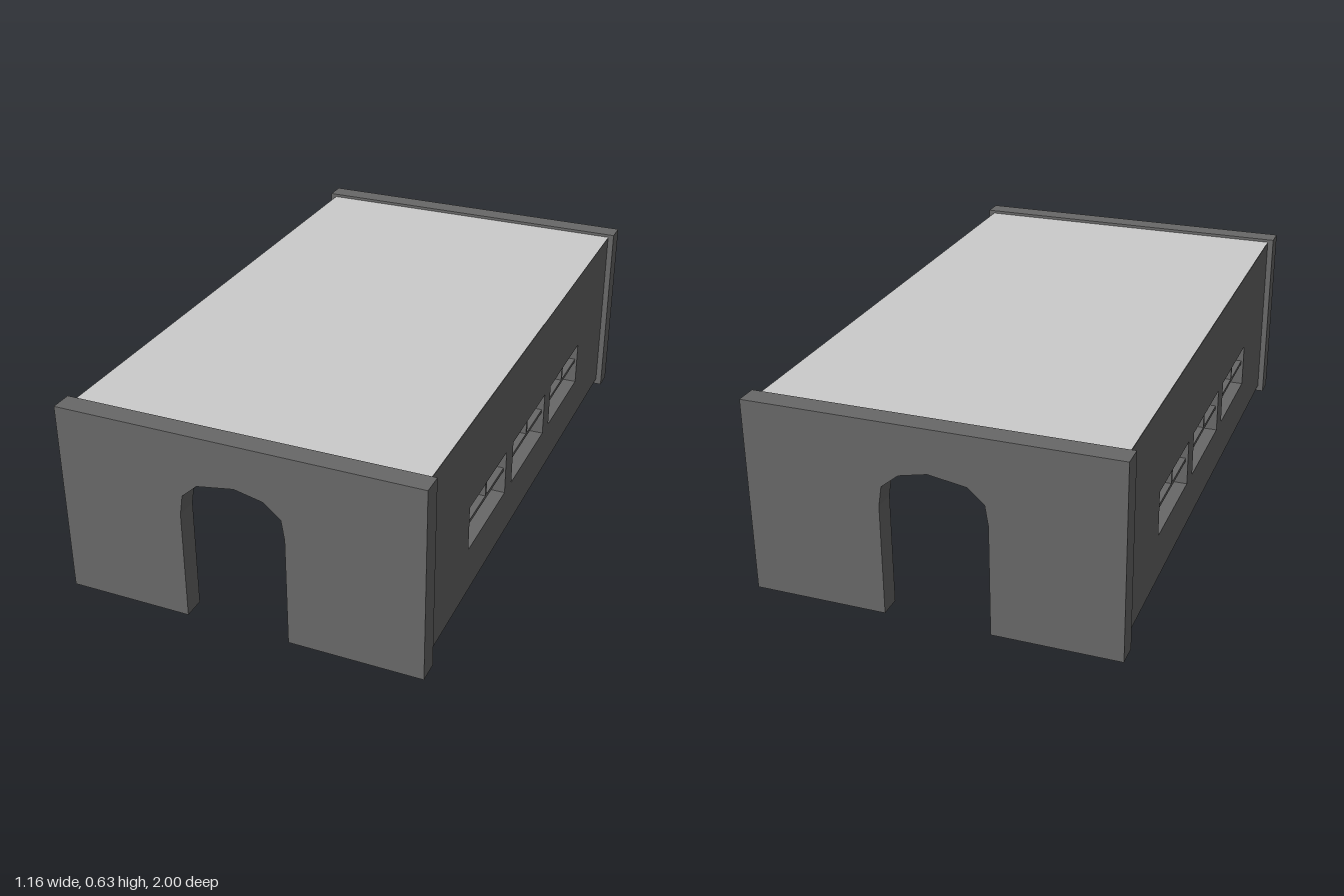
import * as THREE from 'three';
import { toCreasedNormals } from 'three/addons/utils/BufferGeometryUtils.js';

const dark = new THREE.MeshStandardMaterial({ color: 0x686868 });
const light = new THREE.MeshStandardMaterial({ color: 0xcccccc, side: THREE.DoubleSide });

const PORTAL_Z = 0.93; // inner face of the end portals
const ROOF_Y = 0.62;
const OUTER_X = 0.56;
const INNER_X = 0.5;

const points = (list) => list.map(([x, y]) => new THREE.Vector2(x, y));
const extrude = (shape, depth) => new THREE.ExtrudeGeometry(shape, { depth, bevelEnabled: false });

function add(parent, name, geometry, material, x = 0, y = 0, z = 0) {
  const mesh = new THREE.Mesh(geometry, material);
  mesh.name = name;
  mesh.position.set(x, y, z);
  parent.add(mesh);
  return mesh;
}

// End wall with a slightly lopsided, faceted archway
function portalGeometry() {
  const shape = new THREE.Shape(points([
    [-0.58, 0], [-0.18, 0], [-0.18, 0.36], [-0.17, 0.425], [-0.12, 0.47], [0, 0.49],
    [0.09, 0.47], [0.145, 0.425], [0.155, 0.36], [0.155, 0], [0.58, 0], [0.58, 0.63], [-0.58, 0.63],
  ]));
  return extrude(shape, 1 - PORTAL_Z);
}

const windowCentres = [-0.415, 0, 0.415];
const win = { halfWidth: 0.173, bottom: 0.175, top: 0.325, bar: 0.26 };

// Long wall with three window openings, drawn along z
function sideWallGeometry() {
  const shape = new THREE.Shape(points([
    [-PORTAL_Z, 0.02], [PORTAL_Z, 0.02], [PORTAL_Z, ROOF_Y - 0.002], [-PORTAL_Z, ROOF_Y - 0.002],
  ]));
  for (const c of windowCentres) {
    const a = c - win.halfWidth, b = c + win.halfWidth;
    shape.holes.push(new THREE.Path(points([
      [a, win.bottom], [a, win.top], [b, win.top], [b, win.bottom],
    ])));
  }
  const geometry = extrude(shape, OUTER_X - INNER_X);
  geometry.rotateY(-Math.PI / 2);
  geometry.translate((OUTER_X - INNER_X) / 2, 0, 0);
  return geometry;
}

// Solid ceiling with a softly rounded underside
function vaultGeometry() {
  const half = [[INNER_X, 0.36], [0.485, 0.42], [0.45, 0.465], [0.4, 0.495], [0.34, 0.51], [0.18, 0.518]];
  const shape = new THREE.Shape(points([
    [-INNER_X, ROOF_Y - 0.004],
    ...half.map(([x, y]) => [-x, y]), [0, 0.52], ...half.slice().reverse(),
    [INNER_X, ROOF_Y - 0.004],
  ]));
  const geometry = extrude(shape, PORTAL_Z * 2);
  geometry.translate(0, 0, -PORTAL_Z);
  return toCreasedNormals(geometry, Math.PI / 5);
}

export function createModel() {
  const model = new THREE.Group();
  model.name = 'archedHall';

  const portal = portalGeometry();
  add(model, 'frontPortal', portal, dark, 0, 0, PORTAL_Z);
  add(model, 'backPortal', portal, dark, 0, 0, -1);

  const wall = sideWallGeometry();
  const depth = 0.045;
  const transom = new THREE.BoxGeometry(depth, 0.012, win.halfWidth * 2);
  const mullion = new THREE.BoxGeometry(depth, win.top - win.bar, 0.012);
  for (const side of [-1, 1]) {
    const label = side > 0 ? 'left' : 'right';
    const x = side * (OUTER_X + INNER_X) / 2;
    add(model, label + 'Wall', wall, dark, x);
    // One crossbar per window, with a short upright above it
    for (const c of windowCentres) {
      add(model, label + 'WindowCrossbar', transom, dark, x, win.bar, c);
      add(model, label + 'WindowMullion', mullion, dark, x, (win.bar + win.top) / 2, c);
    }
  }

  add(model, 'vaultedCeiling', vaultGeometry(), dark);

  // Flat roof covering, sunk just below the portal tops
  const roof = new THREE.PlaneGeometry(OUTER_X * 2, PORTAL_Z * 2);
  roof.rotateX(-Math.PI / 2);
  add(model, 'roof', roof, light, 0, ROOF_Y, 0);

  return model;
}
